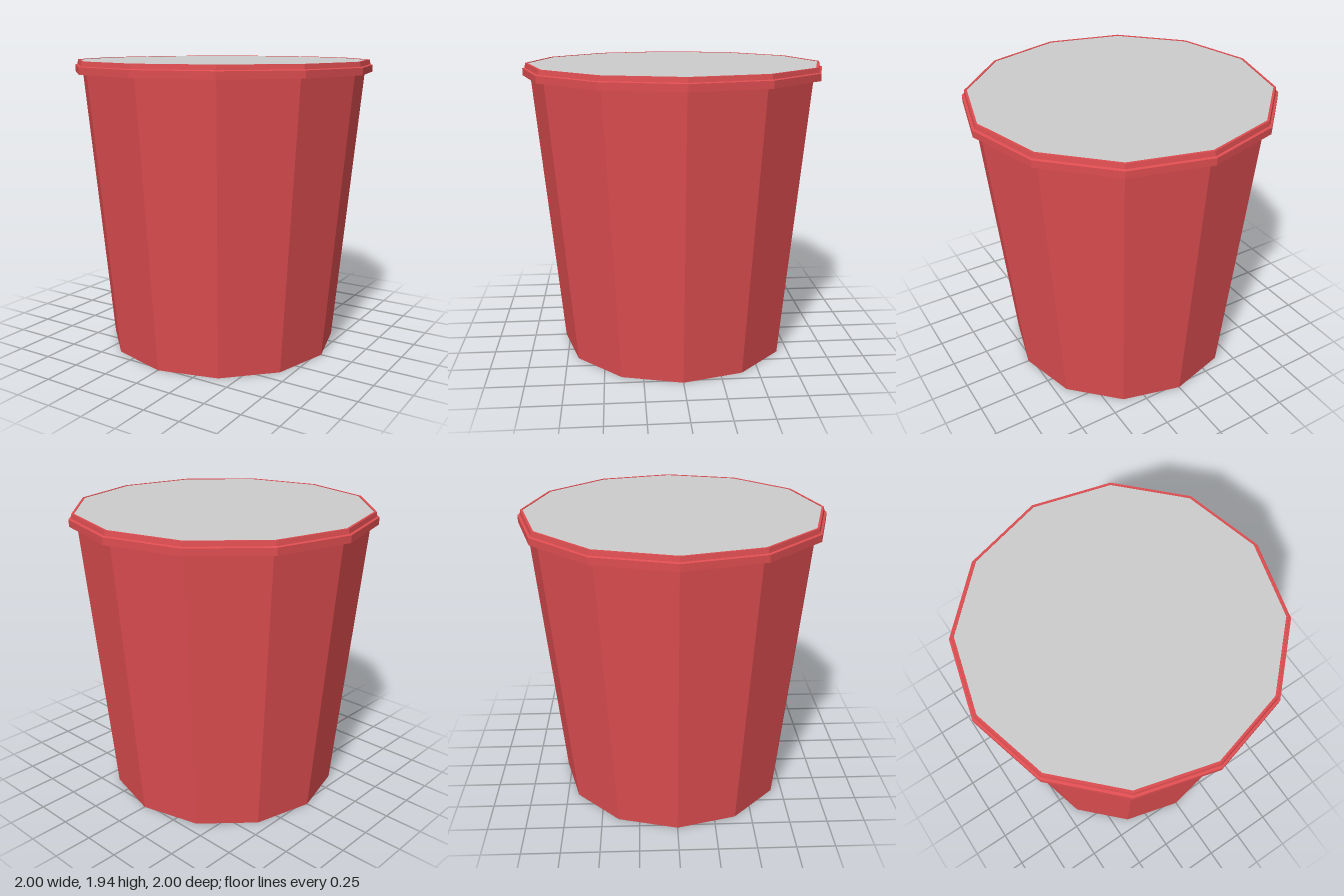
import * as THREE from 'three';

const SIDES = 12;

export function createModel() {
  const group = new THREE.Group();
  const red = new THREE.MeshStandardMaterial({ color: 0xdd4d50, flatShading: true, side: THREE.DoubleSide });
  const grey = new THREE.MeshStandardMaterial({ color: 0xcccccc, flatShading: true });

  // Faceted ring or shell from a [radius, height] profile
  function addLathe(name, profile) {
    const points = profile.map(([r, y]) => new THREE.Vector2(r, y));
    const mesh = new THREE.Mesh(new THREE.LatheGeometry(points, SIDES), red);
    mesh.name = name;
    group.add(mesh);
  }

  // Tapered tub with a closed base
  addLathe('tubBody', [[0, 0], [0.78, 0], [0.95, 1.86]]);

  // Overhanging lid rim with a small step near the top
  addLathe('lidRim', [
    [0.95, 1.86], [1, 1.86], [1, 1.905], [0.985, 1.91], [0.98, 1.94], [0.965, 1.94], [0.965, 1.93],
  ]);

  // Flat lid panel inside the rim
  const panel = new THREE.Mesh(new THREE.CircleGeometry(0.966, SIDES), grey);
  panel.name = 'lidPanel';
  panel.rotation.x = -Math.PI / 2;
  panel.position.y = 1.937;
  group.add(panel);

  return group;
}
